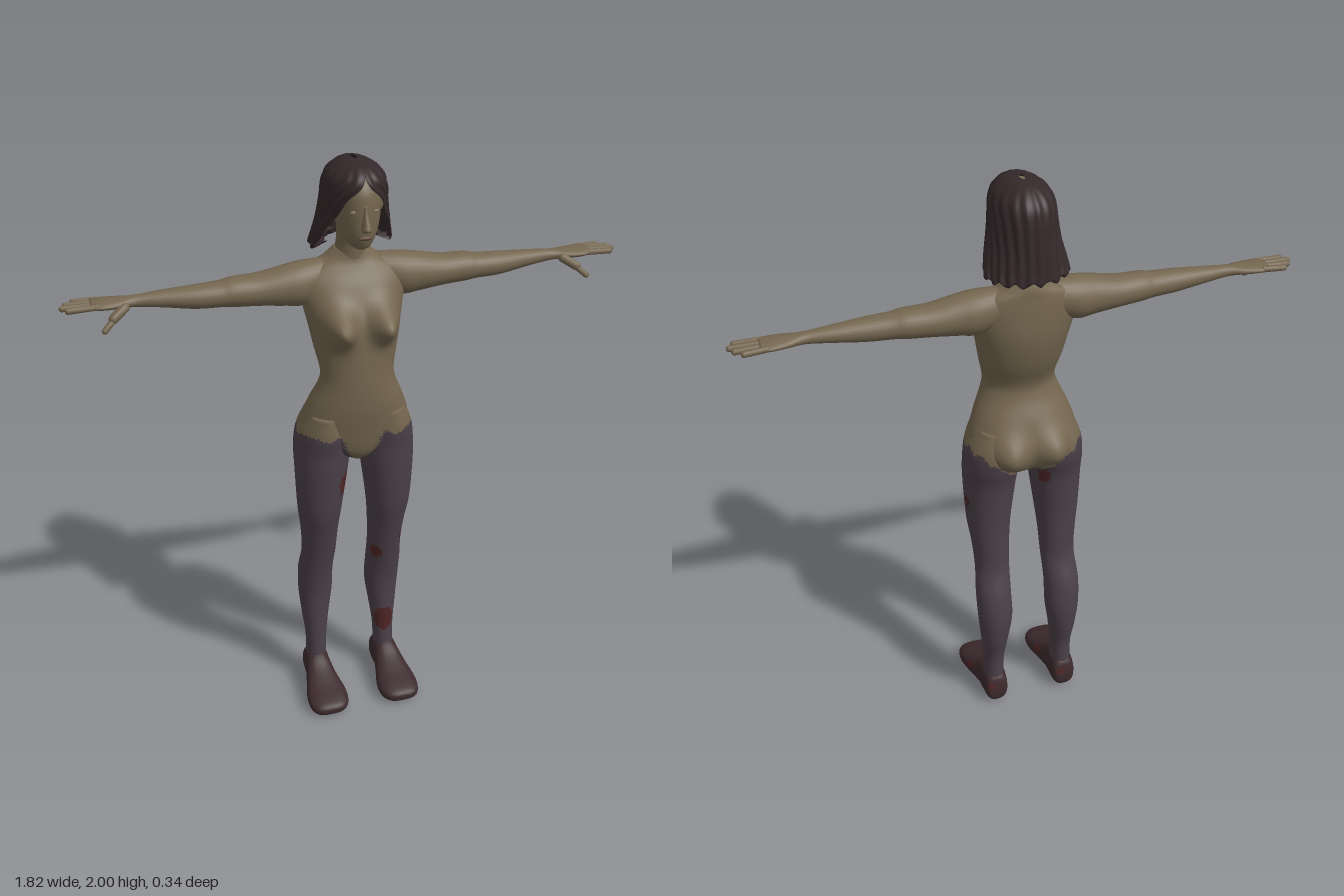
import * as THREE from 'three';
import { mergeVertices } from 'three/addons/utils/BufferGeometryUtils.js';

const mat = (name, color, side = THREE.FrontSide) => {
  const m = new THREE.MeshStandardMaterial({ color, side });
  m.name = name;
  return m;
};

// Reverse the corner order of every triangle
function flip(geo) {
  const ix = geo.index.array;
  for (let i = 0; i < ix.length; i += 3) [ix[i], ix[i + 1]] = [ix[i + 1], ix[i]];
  geo.computeVertexNormals();
  return geo;
}

function mirrored(geo) {
  return flip(geo.clone().scale(-1, 1, 1));
}

// Smooth body through rows of [position along axis, u0, u1, v0, v1]
function loft(axis, rows, { segs = 32, sub = 5, power = 1, bend } = {}) {
  const curve = new THREE.CubicInterpolant(rows.map((_, i) => i), rows.flat(), 5);
  const n = (rows.length - 1) * sub, pos = [], index = [];
  const put = (a, u, v) => {
    const p = axis === 'x' ? [a, u, v] : axis === 'y' ? [u, a, v] : [u, v, a];
    if (bend) bend(p);
    pos.push(...p);
  };
  const shape = (c) => Math.sign(c) * Math.abs(c) ** power;
  for (let i = 0; i <= n; i++) {
    const [a, u0, u1, v0, v1] = curve.evaluate(i / sub);
    for (let j = 0; j < segs; j++) {
      const t = (j / segs) * Math.PI * 2;
      put(a, (u0 + u1) / 2 + ((u1 - u0) / 2) * shape(Math.cos(t)),
        (v0 + v1) / 2 + ((v1 - v0) / 2) * shape(Math.sin(t)));
    }
  }
  for (const r of [rows[0], rows[rows.length - 1]]) put(r[0], (r[1] + r[2]) / 2, (r[3] + r[4]) / 2);
  const first = (n + 1) * segs;
  for (let j = 0; j < segs; j++) {
    const k = (j + 1) % segs;
    index.push(first, k, j, first + 1, n * segs + j, n * segs + k);
    for (let i = 0; i < n; i++) {
      const a = i * segs + j, b = i * segs + k;
      index.push(a, b, a + segs, b, b + segs, a + segs);
    }
  }
  const geo = new THREE.BufferGeometry();
  geo.setAttribute('position', new THREE.Float32BufferAttribute(pos, 3));
  geo.setIndex(index);
  // Make the faces point outward
  let volume = 0;
  const P = (i) => new THREE.Vector3().fromArray(pos, i * 3);
  for (let i = 0; i < index.length; i += 3) volume += P(index[i]).dot(P(index[i + 1]).cross(P(index[i + 2])));
  if (volume < 0) return flip(geo);
  geo.computeVertexNormals();
  return geo;
}

// Sort triangles into material groups by a rule on their centre
function paint(geo, rule, count) {
  const p = geo.attributes.position, ix = geo.index.array;
  const bins = Array.from({ length: count }, () => []);
  for (let i = 0; i < ix.length; i += 3) {
    const t = [ix[i], ix[i + 1], ix[i + 2]];
    const mean = (f) => t.reduce((s, k) => s + p[f](k), 0) / 3;
    bins[rule(mean('getX'), mean('getY'), mean('getZ'))].push(...t);
  }
  geo.setIndex(bins.flat());
  let start = 0;
  bins.forEach((b, i) => { geo.addGroup(start, b.length, i); start += b.length; });
  return geo;
}

const blob = (x, y, z, rx, ry, rz) => {
  const g = new THREE.SphereGeometry(1, 20, 14).scale(rx, ry, rz).translate(x, y, z);
  g.deleteAttribute('uv');
  g.deleteAttribute('normal');
  const m = mergeVertices(g, 1e-5);
  m.computeVertexNormals();
  return m;
};

// Round rod from a to b, for fingers
function rod(a, b, r) {
  const A = new THREE.Vector3(...a), B = new THREE.Vector3(...b), d = B.clone().sub(A);
  const g = new THREE.CapsuleGeometry(r, d.length() - r, 5, 10);
  g.applyQuaternion(new THREE.Quaternion().setFromUnitVectors(new THREE.Vector3(0, 1, 0), d.normalize()));
  return g.translate(...A.add(B).multiplyScalar(0.5).toArray());
}

// Hair sheet, open at the face: [y, half width, back z, front z, opening angle]
function hairGeometry() {
  const rows = [
    [2.0, 0.008, -0.03, 0.01, 0], [1.99, 0.045, -0.075, 0.07, 0], [1.968, 0.077, -0.112, 0.107, 0],
    [1.94, 0.093, -0.135, 0.122, 0.15], [1.9, 0.1, -0.145, 0.122, 0.55], [1.85, 0.105, -0.15, 0.112, 0.78],
    [1.8, 0.114, -0.155, 0.1, 1.05], [1.75, 0.126, -0.16, 0.07, 1.15], [1.718, 0.128, -0.16, 0.04, 1.25],
    [1.735, 0.085, -0.115, 0.02, 1.3]];
  const curve = new THREE.CubicInterpolant(rows.map((_, i) => i), rows.flat(), 5);
  const sub = 4, n = (rows.length - 1) * sub, segs = 120, pos = [], index = [];
  for (let i = 0; i <= n; i++) {
    const [y, w, z0, z1, open] = curve.evaluate(i / sub);
    const low = THREE.MathUtils.smoothstep(i / sub, 6.5, 8);
    for (let j = 0; j <= segs; j++) {
      const f = j / segs, t = Math.max(open, 0) + f * 2 * (Math.PI - Math.max(open, 0));
      const rib = 1 + 0.022 * Math.sin(f * 100) * Math.min(1, i / 8);
      pos.push(w * rib * Math.sin(t), y + low * 0.007 * Math.sin(f * 57),
        (z0 + z1) / 2 + ((z1 - z0) / 2) * rib * Math.cos(t));
      if (i < n && j < segs) {
        const a = i * (segs + 1) + j, b = a + segs + 1;
        index.push(a, b, a + 1, a + 1, b, b + 1);
      }
    }
  }
  const geo = new THREE.BufferGeometry();
  geo.setAttribute('position', new THREE.Float32BufferAttribute(pos, 3));
  geo.setIndex(index);
  geo.computeVertexNormals();
  return geo;
}

export function createModel() {
  const model = new THREE.Group();
  const skin = mat('skin', 0x74664f), cloth = mat('leggings', 0x4b4149), stain = mat('stain', 0x4f2625);
  const hair = mat('hair', 0x34282a, THREE.DoubleSide), shoe = mat('shoe', 0x3c2a2d);
  const eye = mat('eye', 0x81755f), lip = mat('lips', 0x5b4539);
  const add = (name, geo, m) => {
    const mesh = new THREE.Mesh(geo, m);
    mesh.name = name;
    model.add(mesh);
  };
  const pair = (name, geo, m) => {
    add('left' + name, geo, m);
    add('right' + name, mirrored(geo), m);
  };
  const sym = (rows) => rows.map(([y, w, z0, z1]) => [y, -w, w, z0, z1]);

  // Ragged top edge of the leggings, and stains on them
  const spots = [[-0.05, 0.9, 0.04, 0.035], [0.08, 0.56, -0.01, 0.025], [0.12, 0.24, -0.03, 0.04],
    [0.2, 0.88, -0.03, 0.017], [0.18, 0.63, -0.015, 0.025], [-0.07, 0.6, -0.02, 0.016], [-0.05, 0.96, -0.09, 0.025]];
  const dress = (x, y, z) => {
    const ax = Math.abs(x);
    const edge = Math.min(1.1, z > -0.02 ? 0.93 + 2.5 * ax : 0.97 + 0.75 * ax) + 0.007 * Math.sin(ax * 90 + z * 70);
    if (y > edge) return 0;
    return spots.some(([a, b, c, r]) => Math.hypot(x - a, (y - b) * 0.8, z - c) < r) ? 2 : 1;
  };
  const dressed = [skin, cloth, stain];

  // Torso, with the chest and seat swelled out of the loft
  const swell = (x, y, cx, cy, wx, wy) => Math.exp(-(((Math.abs(x) - cx) / wx) ** 2) - ((y - cy) / wy) ** 2);
  const torso = loft('y', sym([
    [1.71, 0.048, -0.1, 0], [1.675, 0.09, -0.112, 0.005], [1.645, 0.155, -0.115, 0.02], [1.6, 0.175, -0.12, 0.05],
    [1.53, 0.163, -0.124, 0.082], [1.47, 0.15, -0.118, 0.1], [1.4, 0.137, -0.1, 0.112], [1.32, 0.121, -0.068, 0.118],
    [1.27, 0.13, -0.075, 0.12], [1.2, 0.16, -0.108, 0.118], [1.12, 0.184, -0.128, 0.106], [1.06, 0.165, -0.12, 0.095],
    [1.02, 0.1, -0.1, 0.08], [0.99, 0.03, -0.05, 0.05]]), {
    segs: 64, sub: 6, bend: (p) => {
      const [x, y, z] = p;
      p[2] += 0.082 * THREE.MathUtils.smoothstep(z, 0, 0.05) * swell(x, y, 0.075, 1.49, 0.045, 0.055);
      p[2] -= 0.054 * THREE.MathUtils.smoothstep(-z, 0.02, 0.08) * swell(x, y, 0.082, 1.085, 0.065, 0.075);
    } });
  add('torso', paint(torso, dress, 3), dressed);

  // Legs
  const leg = loft('y', [
    [1.17, 0.05, 0.163, -0.1, 0.095], [1.1, 0.02, 0.194, -0.13, 0.1], [1.03, 0.015, 0.205, -0.126, 0.09],
    [0.95, 0.025, 0.205, -0.106, 0.085], [0.8, 0.045, 0.198, -0.095, 0.068], [0.7, 0.055, 0.186, -0.096, 0.042],
    [0.6, 0.06, 0.18, -0.1, 0.015], [0.5, 0.064, 0.187, -0.135, -0.01], [0.4, 0.064, 0.185, -0.148, -0.027],
    [0.3, 0.078, 0.176, -0.138, -0.03], [0.2, 0.09, 0.166, -0.116, -0.03], [0.08, 0.095, 0.165, -0.115, -0.025]],
  { segs: 40, sub: 8 });
  add('leftLeg', paint(leg.clone(), dress, 3), dressed);
  add('rightLeg', paint(mirrored(leg), dress, 3), dressed);

  // Shoes with rounded soles and patchy stains
  const foot = loft('z', [
    [-0.13, 0.105, 0.155, 0.025, 0.06], [-0.115, 0.09, 0.17, 0.006, 0.115], [-0.07, 0.085, 0.175, 0, 0.135],
    [-0.03, 0.085, 0.178, 0, 0.13], [0.02, 0.075, 0.19, 0, 0.1], [0.08, 0.061, 0.204, 0, 0.075],
    [0.13, 0.062, 0.204, 0, 0.06], [0.162, 0.08, 0.19, 0.006, 0.048], [0.174, 0.105, 0.165, 0.018, 0.036]],
  { segs: 28, sub: 4, power: 0.8 });
  const worn = (x, y, z) => (Math.sin(x * 71 + z * 23) + Math.sin(y * 83 + z * 47 + 1) > 1.35 ? 1 : 0);
  add('leftShoe', paint(foot.clone(), worn, 2), [shoe, stain]);
  add('rightShoe', paint(mirrored(foot), worn, 2), [shoe, stain]);

  // Arms out to the palms
  pair('Arm', loft('x', [
    [0.08, 1.56, 1.675, -0.1, 0], [0.16, 1.53, 1.672, -0.11, 0.02], [0.22, 1.535, 1.663, -0.105, 0.02],
    [0.3, 1.545, 1.648, -0.1, 0.015], [0.38, 1.551, 1.645, -0.093, 0.012], [0.42, 1.556, 1.638, -0.086, 0.008],
    [0.5, 1.56, 1.634, -0.079, 0.004], [0.6, 1.575, 1.628, -0.071, -0.011], [0.68, 1.585, 1.622, -0.064, -0.02],
    [0.73, 1.588, 1.62, -0.078, -0.008], [0.78, 1.59, 1.619, -0.088, -0.002], [0.815, 1.594, 1.616, -0.086, -0.01]],
  { segs: 28 }), skin);

  // Fingers and thumbs
  [[-0.078, -0.085, 0.868], [-0.058, -0.062, 0.892], [-0.038, -0.038, 0.904], [-0.018, -0.014, 0.888]]
    .forEach(([z0, z1, tip], i) => pair('Finger' + (i + 1), rod([0.79, 1.606, z0], [tip, 1.604, z1], 0.0095), skin));
  pair('ThumbBase', rod([0.71, 1.6, -0.02], [0.76, 1.57, 0.012], 0.015), skin);
  pair('Thumb', rod([0.75, 1.575, 0.008], [0.788, 1.542, 0.028], 0.0095), skin);

  // Neck and head
  add('neck', loft('y', sym([[1.64, 0.07, -0.11, 0.005], [1.69, 0.053, -0.1, 0.005], [1.74, 0.047, -0.088, 0.012],
    [1.8, 0.05, -0.085, 0.03]])), skin);
  add('head', loft('y', sym([
    [1.738, 0.018, 0.03, 0.08], [1.75, 0.034, -0.01, 0.1], [1.78, 0.054, -0.055, 0.113], [1.82, 0.067, -0.08, 0.117],
    [1.87, 0.074, -0.1, 0.118], [1.92, 0.076, -0.11, 0.112], [1.96, 0.058, -0.09, 0.082], [1.982, 0.03, -0.045, 0.04]])), skin);

  // Face details and ears
  add('nose', loft('y', sym([[1.805, 0.011, 0.1, 0.128], [1.815, 0.016, 0.1, 0.146], [1.83, 0.012, 0.1, 0.142],
    [1.86, 0.008, 0.1, 0.127], [1.885, 0.007, 0.095, 0.12]]), { segs: 16 }), skin);
  pair('Eye', blob(0.031, 1.865, 0.105, 0.014, 0.006, 0.004), eye);
  add('lips', blob(0, 1.784, 0.113, 0.022, 0.007, 0.006), lip);
  pair('Ear', blob(0.082, 1.855, -0.01, 0.012, 0.03, 0.018), skin);

  add('hair', hairGeometry(), hair);
  return model;
}
